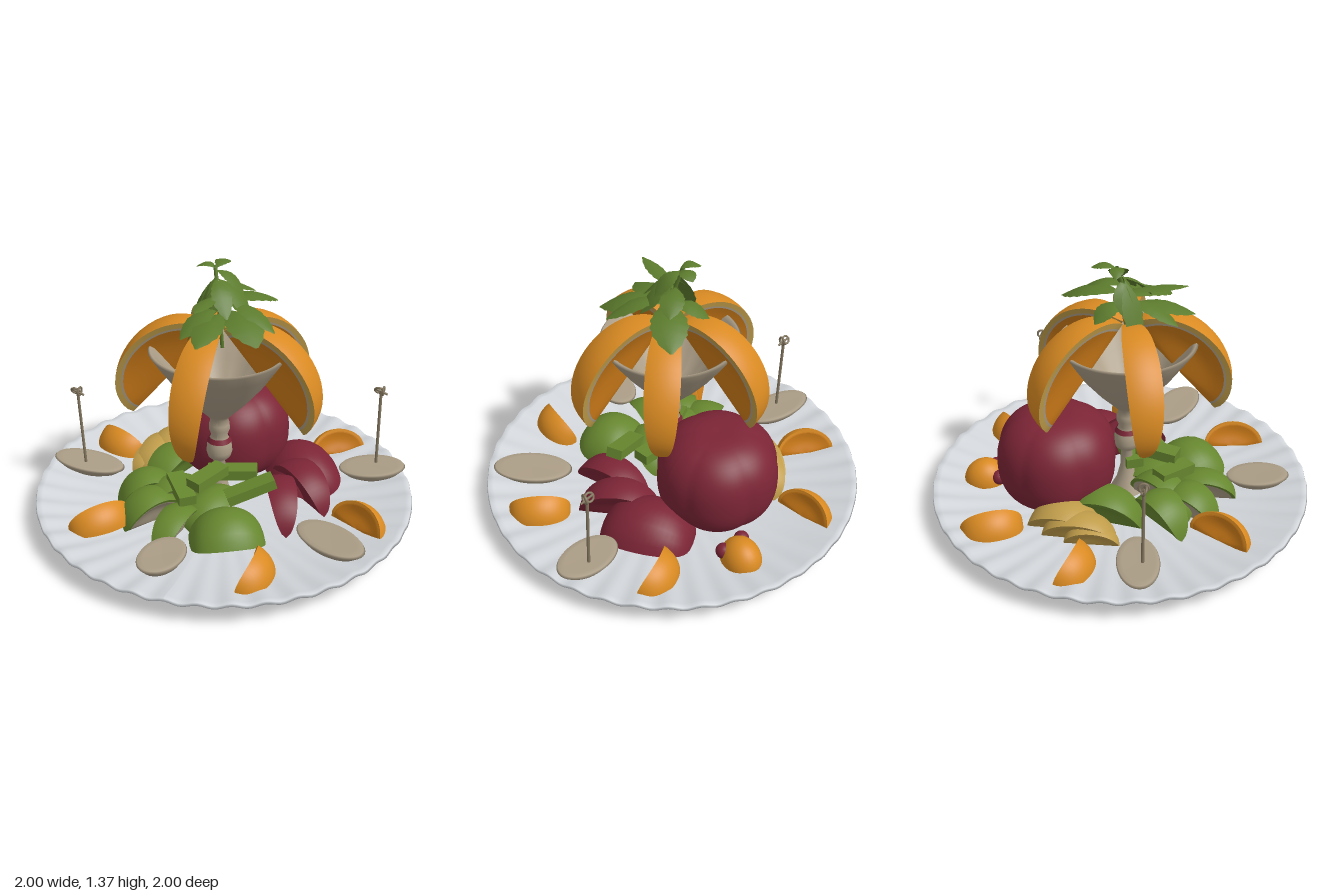
import * as THREE from 'three';

const mat = (name, color) => {
  const m = new THREE.MeshStandardMaterial({ color, side: THREE.DoubleSide });
  m.name = name;
  return m;
};
const V = (x, y, z) => new THREE.Vector3(x, y, z);

// Smooth grid surface from a rule f(u, v) -> Vector3
function surf(f, nu, nv) {
  const pos = [], idx = [];
  for (let i = 0; i <= nu; i++) for (let j = 0; j <= nv; j++) pos.push(...f(i / nu, j / nv).toArray());
  for (let i = 0; i < nu; i++) for (let j = 0; j < nv; j++) {
    const a = i * (nv + 1) + j, b = a + nv + 1;
    idx.push(a, b, a + 1, b, b + 1, a + 1);
  }
  const g = new THREE.BufferGeometry();
  g.setAttribute('position', new THREE.Float32BufferAttribute(pos, 3));
  g.setIndex(idx);
  g.computeVertexNormals();
  return g;
}
const lathe = (pts, seg) => new THREE.LatheGeometry(pts.map(p => new THREE.Vector2(...p)), seg);

export function createModel() {
  const M = {
    plate: mat('plate grey', 0xd2d6da), orange: mat('orange peel', 0xd98a22), flesh: mat('orange flesh', 0xcb7a18),
    pith: mat('yellow pith', 0xbf9c4a), beige: mat('beige', 0xab9d86), red: mat('dark red', 0x7c2536),
    green: mat('fruit green', 0x67872f), leaf: mat('leaf green', 0x5c7b2d), wood: mat('stick wood', 0x857860),
  };
  const root = new THREE.Group();
  const add = (name, geo, m, parent = root) => {
    const o = new THREE.Mesh(geo, m);
    o.name = name;
    parent.add(o);
    return o;
  };
  const group = (name, parent = root) => {
    const g = new THREE.Group();
    g.name = name;
    parent.add(g);
    return g;
  };

  // Fruit wedge: poles on local x, skin bulging to +y, two cut faces with an outer rim and inner band
  function wedge(name, L, B, a, skin, rim, band, flesh, parent = root) {
    const g = group(name, parent);
    const p = (t, phi, s) => {
      const sn = Math.max(Math.sin(t * Math.PI), 0);
      const dip = s < 0.86 ? 1 - 0.3 * Math.sin(Math.PI * s / 0.86) : 1;
      return V(s * L * Math.cos(t * Math.PI), s * B * sn * Math.cos(phi), s * B * sn ** 0.6 * Math.sin(phi) * dip);
    };
    add('skin', surf((u, v) => p(u, (1 - 2 * v) * a, 1), 24, 10), skin, g);
    for (const side of [-1, 1]) {
      add('cutRim', surf((u, v) => p(u, side * a, 1 - v * 0.1), 24, 1), rim, g);
      add('cutBand', surf((u, v) => p(u, side * a, 0.9 - v * 0.04), 24, 1), band, g);
      add('cutFlesh', surf((u, v) => p(u, side * a, 0.86 * (1 - v)), 24, 8), flesh, g);
    }
    return g;
  }

  // Fluted plate, flutes growing toward the rim
  const plate = lathe([[0, 0], [0.3, 0], [0.52, 0.006], [0.7, 0.03], [0.85, 0.055], [0.96, 0.085], [1, 0.108],
    [0.995, 0.122], [0.965, 0.119], [0.85, 0.09], [0.7, 0.066], [0.5, 0.042], [0.25, 0.038], [0, 0.038]], 280);
  const pp = plate.attributes.position;
  for (let i = 0; i < pp.count; i++) {
    const x = pp.getX(i), z = pp.getZ(i), r = Math.hypot(x, z);
    pp.setY(i, Math.max(0, pp.getY(i) + (0.004 * r ** 2 + 0.004 * r ** 8) * Math.cos(40 * Math.atan2(z, x))));
  }
  plate.computeVertexNormals();
  add('plate', plate, M.plate);

  // Goblet with faintly faceted bowl, knobbed stem and foot
  const goblet = group('goblet');
  goblet.position.set(-0.015, 0, 0.035);
  const cup = lathe([[0.09, 0.05], [0.055, 0.12], [0.035, 0.2], [0.03, 0.3], [0.06, 0.33], [0.068, 0.36], [0.064, 0.4],
    [0.052, 0.43], [0.042, 0.455], [0.055, 0.49], [0.053, 0.52], [0.045, 0.55], [0.07, 0.58], [0.14, 0.655], [0.22, 0.755],
    [0.295, 0.865], [0.355, 0.945], [0.345, 0.955], [0.325, 0.94], [0.21, 0.79], [0.12, 0.68], [0, 0.62]], 60);
  const cp = cup.attributes.position;
  for (let i = 0; i < cp.count; i++) {
    const x = cp.getX(i), z = cp.getZ(i), y = cp.getY(i);
    const k = y > 0.6 && y < 0.93 ? 1 + 0.03 * Math.abs(Math.cos(5 * Math.atan2(z, x))) : 1;
    cp.setXYZ(i, x * k, y, z * k);
  }
  cup.computeVertexNormals();
  add('cup', cup, M.beige, goblet);
  add('stemBand', new THREE.CylinderGeometry(0.052, 0.064, 0.025, 32, 1, true), M.red, goblet).position.y = 0.43;

  // Orange slices hanging over the rim and meeting above the bowl
  for (const deg of [6, 174, 92, 245, 310]) {
    const arm = group('rimSlice', goblet);
    arm.rotation.y = -deg * Math.PI / 180;
    const w = wedge('orangeSlice', 0.33, 0.265, 0.33, M.orange, M.pith, M.beige, M.flesh, arm);
    w.position.set(0.24, 0.795, 0);
    w.rotation.z = -0.86;
  }

  // Orange crescents lying round the plate: x, z, bulge direction x, z, half length
  for (const [x, z, dx, dz, L] of [[-0.35, -0.68, -1, 0.2, 0.16], [0.52, -0.56, -0.5, -0.8, 0.16], [-0.69, -0.31, -0.4, 0.9, 0.16],
    [0.74, 0.15, 0.5, -0.85, 0.16], [-0.54, 0.45, 0.7, 0.65, 0.17], [0.3, 0.67, 1, 0.05, 0.165]]) {
    const w = wedge('orangePiece', L, 0.14, 0.58, M.orange, M.orange, M.flesh, M.flesh);
    w.rotation.order = 'YXZ';
    w.rotation.set(0.88, Math.atan2(dx, dz), 0);
    w.position.set(x, 0.08, z);
  }
  const dome = add('orangeEnd', new THREE.SphereGeometry(1, 24, 10, 0, Math.PI * 2, 0, Math.PI / 2), M.orange);
  dome.scale.set(0.1, 0.12, 0.115);
  dome.position.set(0.09, 0.075, -0.725);

  // Large lobed red fruit with narrow grooves
  const fruit = surf((u, v) => {
    const th = v * Math.PI * 2, ph = u * Math.PI, s = Math.max(Math.sin(ph), 0);
    const rad = s ** 0.85 * (0.95 + 0.055 * Math.abs(Math.cos(3 * th + 0.3)) ** 0.6);
    const c = Math.cos(ph);
    const y = Math.sign(c) * Math.abs(c) ** 0.85 - (c > 0 ? 0.08 * (1 - s) ** 2 : 0);
    return V(rad * Math.cos(th) * 0.32, y * 0.28, -rad * Math.sin(th) * 0.315);
  }, 32, 84);
  add('redFruit', fruit, M.red).position.set(-0.05, 0.305, -0.335);
  for (const [x, z] of [[0.03, -0.65], [0.155, -0.665]]) {
    add('redScrap', new THREE.SphereGeometry(0.04, 16, 10), M.red).position.set(x, 0.12, z);
  }

  // Upright wedges: centre, chord angle, half length, height, half angle
  const upright = (name, rows, skin, face) => {
    for (const [x, y, z, ang, L, B, a] of rows) {
      const w = wedge(name, L, B, a, skin, skin, face, face);
      w.position.set(x, y, z);
      w.rotation.y = ang;
    }
  };
  upright('redWedge', [[0.36, 0.05, -0.3, -0.9, 0.24, 0.2, 1.3], [0.4, 0.05, -0.1, -0.75, 0.22, 0.21, 0.4],
    [0.33, 0.05, 0.08, -1.2, 0.22, 0.2, 0.4]], M.red, M.red);
  upright('cutGreenWedge', [[-0.13, 0.05, 0.42, 1.4, 0.19, 0.16, 0.5], [-0.29, 0.05, 0.33, 0.9, 0.17, 0.19, 0.5],
    [-0.2, 0.06, 0.2, 0.7, 0.2, 0.19, 0.4]], M.green, M.beige);
  upright('greenWedge', [[0.13, 0.05, 0.4, 0.45, 0.19, 0.18, 1.2], [-0.36, 0.05, 0.18, 0.6, 0.17, 0.2, 0.45],
    [-0.31, 0.05, -0.1, 1.2, 0.2, 0.2, 0.5], [0.0, 0.06, 0.2, 1.2, 0.2, 0.15, 0.8]], M.green, M.green);
  upright('yellowWedge', [[-0.38, 0.06, -0.31, 1.25, 0.19, 0.17, 0.6], [-0.45, 0.06, -0.24, 1.35, 0.19, 0.15, 0.5],
    [-0.5, 0.06, -0.18, 1.4, 0.14, 0.11, 0.45]], M.pith, M.pith);

  // Green batons on top of the pile
  for (const [x, y, z, ry, rz, l] of [[-0.03, 0.29, 0.2, 1.1, 0.05, 0.22], [0.19, 0.235, 0.17, 0.5, 0.3, 0.26],
    [-0.15, 0.24, 0.27, 2.2, 0.1, 0.22], [0.06, 0.245, 0.05, 0.2, 0.05, 0.26]]) {
    const b = add('greenBaton', new THREE.BoxGeometry(l, 0.055, 0.09), M.green);
    b.position.set(x, y, z);
    b.rotation.set(0, ry, rz);
  }

  // Beige oval boats tilted with the plate: x, z, angle, half length, half width
  const boat = lathe([[0, -0.045], [0.5, -0.04], [0.8, -0.014], [1, 0.018], [0.95, 0.028], [0.75, 0.028], [0, 0.026]], 40);
  for (const [x, z, ang, L, W] of [[-0.765, 0.03, -0.05, 0.205, 0.105], [0.745, -0.345, 0.25, 0.18, 0.115],
    [0.65, 0.38, -0.62, 0.21, 0.115], [-0.1, 0.73, 1.45, 0.165, 0.11]]) {
    const b = add('ovalBoat', boat, M.beige);
    b.scale.set(L, 1, W);
    b.position.set(x, 0.138, z);
    b.rotation.y = ang;
    b.rotateOnWorldAxis(V(-z, 0, x).normalize(), 0.06);
  }

  // Sticks with a knotted top
  for (const [x0, z0, x1, z1] of [[-0.775, 0.05, -0.795, 0.05], [0.76, -0.38, 0.755, -0.4]]) {
    const s = group('pick');
    const line = new THREE.LineCurve3(V(x0, 0.13, z0), V(x1, 0.6, z1));
    add('stick', new THREE.TubeGeometry(line, 1, 0.008, 8), M.wood, s);
    for (let i = 0; i < 2; i++) {
      const k = add('knotLoop', new THREE.TorusGeometry(0.022, 0.006, 6, 16), M.wood, s);
      k.position.set(x1 + (i ? 0.012 : -0.012), 0.6, z1);
      k.rotation.set(0.5, i * 1.5, 0);
    }
    const bar = add('knotEnd', new THREE.CylinderGeometry(0.006, 0.006, 0.075, 6), M.wood, s);
    bar.position.set(x1, 0.595, z1);
    bar.rotation.z = 1.2;
  }

  // Herb sprig
  const sprig = group('sprig');
  const stem = new THREE.CatmullRomCurve3([V(0, 0.95, 0.03), V(-0.01, 1.08, 0.03), V(-0.03, 1.25, 0.01), V(-0.05, 1.36, -0.02)]);
  add('stem', new THREE.TubeGeometry(stem, 16, 0.01, 8), M.leaf, sprig);
  const leaf = (base, tip, w, sag) => {
    const a = V(...base), d = V(...tip).sub(a);
    const side = V(-d.z, 0, d.x).normalize();
    add('leaf', surf((u, v) => {
      const k = 2 * v - 1;
      const width = w * Math.max(Math.sin(Math.PI * u ** 1.15), 0.04) ** 0.8 * (1 + 0.05 * Math.cos(u * 44));
      const p = a.clone().addScaledVector(d, u).addScaledVector(side, k * width);
      p.y += sag * Math.sin(Math.PI * u) - 0.2 * width * k * k;
      return p;
    }, 28, 4), M.leaf, sprig);
  };
  for (const l of [[[0, 1.14, 0.04], [-0.03, 1.09, 0.37], 0.075, 0.03], [[0.04, 1.16, 0.04], [0.24, 1.09, 0.28], 0.09, 0.04],
    [[0.03, 1.19, 0], [0.2, 1.11, -0.28], 0.09, 0.04], [[0.02, 1.2, 0.02], [0.29, 1.11, 0.14], 0.055, 0.03],
    [[-0.06, 1.29, 0.02], [-0.165, 0.99, 0.08], 0.055, 0.03], [[-0.03, 1.3, 0], [0.15, 1.14, 0.05], 0.06, 0.03],
    [[-0.04, 1.35, -0.01], [-0.15, 1.34, -0.03], 0.035, 0.025], [[-0.04, 1.34, -0.01], [0.1, 1.24, 0], 0.05, 0.03],
    [[-0.04, 1.35, -0.02], [-0.02, 1.35, -0.14], 0.04, 0.02], [[-0.03, 1.22, 0.02], [-0.05, 1.25, 0.33], 0.04, 0.01],
    [[-0.01, 1.16, 0], [-0.13, 1.1, -0.13], 0.06, 0.03], [[-0.02, 1.17, 0.04], [-0.14, 1.08, 0.27], 0.06, 0.03],
    [[-0.02, 1.25, 0], [0.12, 1.2, -0.15], 0.06, 0.03], [[-0.04, 1.3, 0.01], [0.06, 1.16, 0.16], 0.05, 0.03],
    [[-0.04, 1.31, 0.01], [-0.06, 1.1, 0.1], 0.05, 0.02], [[-0.04, 1.28, 0], [-0.12, 1.12, 0.02], 0.05, 0.03]]) leaf(...l);

  return root;
}
